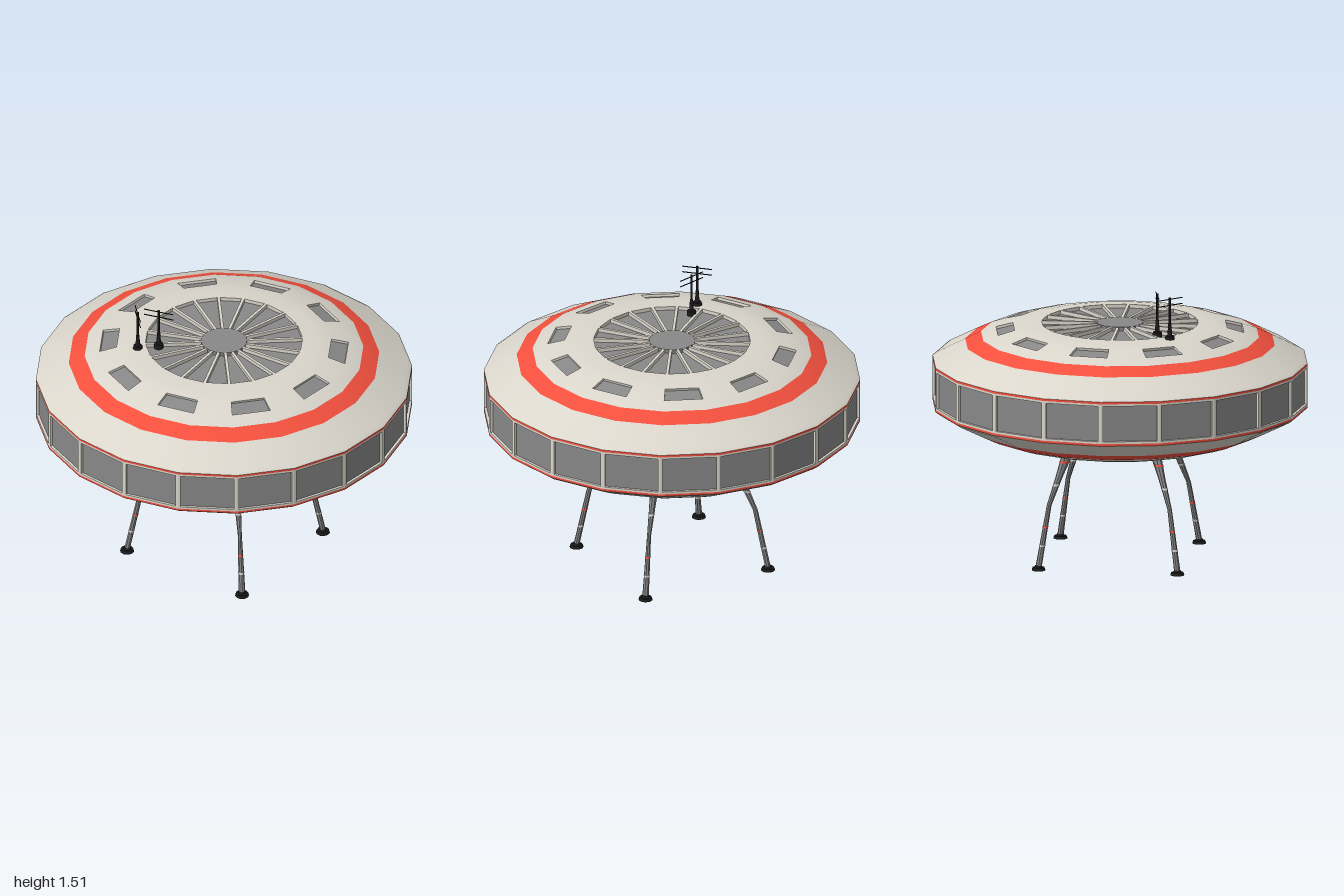
import * as THREE from 'three';

const SIDES = 20, START = -Math.PI / 30, STEP = Math.PI * 2 / SIDES;
const R = 1.0055; // corner radius that gives a width of 2

const material = (color, extra = {}) => Object.assign(new THREE.MeshStandardMaterial({ color }), extra);
const HULL = material(0xdad6cc), RED = material(0xf4503e), GLASS = material(0x888888);
const FLAT_HULL = material(0xdad6cc, { flatShading: true, side: THREE.DoubleSide });
const METAL = material(0x858585, { flatShading: true });
const BLACK = material(0x1c1c1c);

function add(parent, name, geometry, mat, x = 0, y = 0, z = 0) {
  const mesh = new THREE.Mesh(geometry, mat);
  mesh.name = name;
  mesh.position.set(x, y, z);
  parent.add(mesh);
  return mesh;
}

const lathe = (profile) => new THREE.LatheGeometry(
  profile.map(([r, y]) => new THREE.Vector2(r, y)), SIDES, START);

// Picks cells (side i, row j) of a lathe, sharing its smooth normals
function cells(geometry, rows, keep) {
  const out = geometry.clone(), src = geometry.index.array, index = [];
  for (let i = 0; i < SIDES; i++) {
    for (let j = 0; j < rows; j++) {
      const k = (i * rows + j) * 6;
      if (keep(i, j)) index.push(...src.slice(k, k + 6));
    }
  }
  out.setIndex(index);
  return out;
}

const ringPoint = (r, y, i) => {
  const a = START + i * STEP;
  return new THREE.Vector3(r * Math.sin(a), y, r * Math.cos(a));
};

function quadGeometry(quads) {
  const positions = [];
  for (const [a, b, c, d] of quads) {
    for (const p of [a, b, c, a, c, d]) positions.push(p.x, p.y, p.z);
  }
  const geometry = new THREE.BufferGeometry();
  geometry.setAttribute('position', new THREE.Float32BufferAttribute(positions, 3));
  geometry.computeVertexNormals();
  return geometry;
}

// Sunken panes between two rings, with a frame of width side / ends
function panes(parent, name, lower, upper, list, side, ends, depth) {
  const frame = [], glass = [];
  for (const i of list) {
    const outer = [ringPoint(...lower, i), ringPoint(...lower, i + 1),
      ringPoint(...upper, i + 1), ringPoint(...upper, i)];
    const [a, b, c, d] = outer;
    const normal = b.clone().sub(a).cross(d.clone().sub(a)).normalize();
    const toward = (p, q, w) => p.clone().addScaledVector(q.clone().sub(p).normalize(), w);
    const left = [toward(a, d, ends), toward(d, a, ends)];
    const right = [toward(b, c, ends), toward(c, b, ends)];
    const inner = [toward(left[0], right[0], side), toward(right[0], left[0], side),
      toward(right[1], left[1], side), toward(left[1], right[1], side)];
    const floor = inner.map((p) => p.clone().addScaledVector(normal, -depth));
    for (let k = 0; k < 4; k++) {
      const n = (k + 1) % 4;
      if (side + ends > 0) frame.push([outer[k], outer[n], inner[n], inner[k]]);
      frame.push([inner[k], inner[n], floor[n], floor[k]]);
    }
    glass.push(floor);
  }
  add(parent, name + 'Frames', quadGeometry(frame), FLAT_HULL);
  add(parent, name + 'Panes', quadGeometry(glass), GLASS);
}

// Dome profile from the rim to the flat centre: radius, height from mid-plane
const DOME = [[R, 0.121], [0.985, 0.136], [0.83, 0.216], [0.745, 0.257],
  [0.665, 0.284], [0.575, 0.308], [0.5, 0.32], [0.42, 0.324]];
const MID = 0.961;

function dome(parent, name, sign) {
  const profile = DOME.map(([r, h]) => [r, MID + sign * h]);
  if (sign < 0) profile.reverse();
  const geometry = lathe(profile), rows = DOME.length - 1;
  const row = (j) => sign > 0 ? j : rows - 1 - j;
  const isWindow = (i, j) => row(j) === 4 && i % 2 === 0;
  add(parent, name + 'Shell', cells(geometry, rows, (i, j) => row(j) !== 2 && !isWindow(i, j)), HULL);
  add(parent, name + 'Stripe', cells(geometry, rows, (i, j) => row(j) === 2), RED);
  const ends = [DOME[4], DOME[5]].map(([r, h]) => [r, MID + sign * h]);
  if (sign < 0) ends.reverse();
  panes(parent, name + 'Window', ends[0], ends[1],
    Array.from({ length: SIDES / 2 }, (_, k) => k * 2), 0, 0, 0.014);
}

// Leg sections from the roof down: distance out, height, half depth, half width
const LEG = [[0.315, 0.66, 0.042, 0.027], [0.39, 0.5, 0.021, 0.018],
  [0.46, 0.345, 0.014, 0.011], [0.53, 0.015, 0.016, 0.018]];

function legSection(y) {
  let k = 0;
  while (k < LEG.length - 2 && y < LEG[k + 1][1]) k++;
  const t = (LEG[k][1] - y) / (LEG[k][1] - LEG[k + 1][1]);
  return LEG[k].map((v, n) => v + (LEG[k + 1][n] - v) * t);
}

// Eight-sided tube whose rows follow the given sections
function loft(sections, grow = 0) {
  const rows = sections.length - 1;
  const geometry = new THREE.CylinderGeometry(1, 1, 1, 8, rows);
  const p = geometry.attributes.position;
  for (let i = 0; i < p.count; i++) {
    const [out, y, depth, width] = sections[Math.round((0.5 - p.getY(i)) * rows)];
    p.setXYZ(i, out + p.getX(i) * (depth + grow), y, p.getZ(i) * (width + grow));
  }
  geometry.computeVertexNormals();
  return geometry;
}

function leg() {
  const group = new THREE.Group();
  add(group, 'strut', loft(LEG), METAL);
  for (const [y, mat, name] of [[0.57, RED, 'redBand'], [0.23, RED, 'redBand'],
    [0.45, HULL, 'paleBand'], [0.13, HULL, 'paleBand']]) {
    add(group, name, loft([legSection(y + 0.005), legSection(y - 0.005)], 0.001), mat);
  }
  add(group, 'footPad', new THREE.CylinderGeometry(0.033, 0.038, 0.015, 10), BLACK, 0.53, 0.0075);
  add(group, 'ankle', new THREE.CylinderGeometry(0.018, 0.022, 0.012, 10), BLACK, 0.53, 0.02);
  return group;
}

function antenna(turn) {
  const group = new THREE.Group();
  add(group, 'base', new THREE.CylinderGeometry(0.024, 0.026, 0.025, 12), BLACK, 0, 0.0025);
  add(group, 'sleeve', new THREE.CylinderGeometry(0.009, 0.013, 0.07, 8), BLACK, 0, 0.045);
  add(group, 'mast', new THREE.CylinderGeometry(0.006, 0.006, 0.16, 8), BLACK, 0, 0.145);
  for (const y of [0.182, 0.215]) {
    const bar = add(group, 'crossbar', new THREE.CylinderGeometry(0.0028, 0.0028, 0.165, 6), BLACK, 0, y);
    bar.rotation.set(0, turn, Math.PI / 2);
  }
  return group;
}

export function createModel() {
  const model = new THREE.Group();
  model.name = 'saucer';
  const all = Array.from({ length: SIDES }, (_, i) => i);

  // Upper and lower halves of the hull
  dome(model, 'upperDome', 1);
  dome(model, 'lowerDome', -1);

  // Rim with a red line above and below the band of windows
  add(model, 'upperRimLine', lathe([[R, MID + 0.109], [R, MID + 0.121]]), RED);
  add(model, 'lowerRimLine', lathe([[R, MID - 0.121], [R, MID - 0.109]]), RED);
  panes(model, 'rimWindow', [R, MID - 0.109], [R, MID + 0.109], all, 0.013, 0.012, 0.014);

  // Roof skylight: sunken sectors between ribs, round hub in the middle
  panes(model, 'skylight', [0.42, MID + 0.324], [0.1, MID + 0.324], all, 0.008, 0, 0.02);
  add(model, 'skylightHub', new THREE.CylinderGeometry(0.122, 0.122, 0.03, 32), GLASS, 0, MID + 0.31);

  // Flat belly plate
  const belly = add(model, 'bellyPlate', new THREE.CircleGeometry(0.42, SIDES), GLASS, 0, MID - 0.324);
  belly.rotation.set(Math.PI / 2, 0, START);

  // Four legs
  const legs = new THREE.Group();
  legs.name = 'legs';
  legs.position.set(0.006, 0, -0.003);
  for (let k = 0; k < 4; k++) {
    const one = leg();
    one.name = 'leg' + (k + 1);
    one.rotation.y = k * Math.PI / 2;
    legs.add(one);
  }
  model.add(legs);

  // Two roof antennas with crossbars turned differently
  for (const [name, x, turn] of [['outerAntenna', -0.465, Math.PI / 2], ['innerAntenna', -0.352, -Math.PI / 6]]) {
    const one = antenna(turn);
    one.name = name;
    one.position.set(x, 1.285, -0.01);
    model.add(one);
  }
  return model;
}
